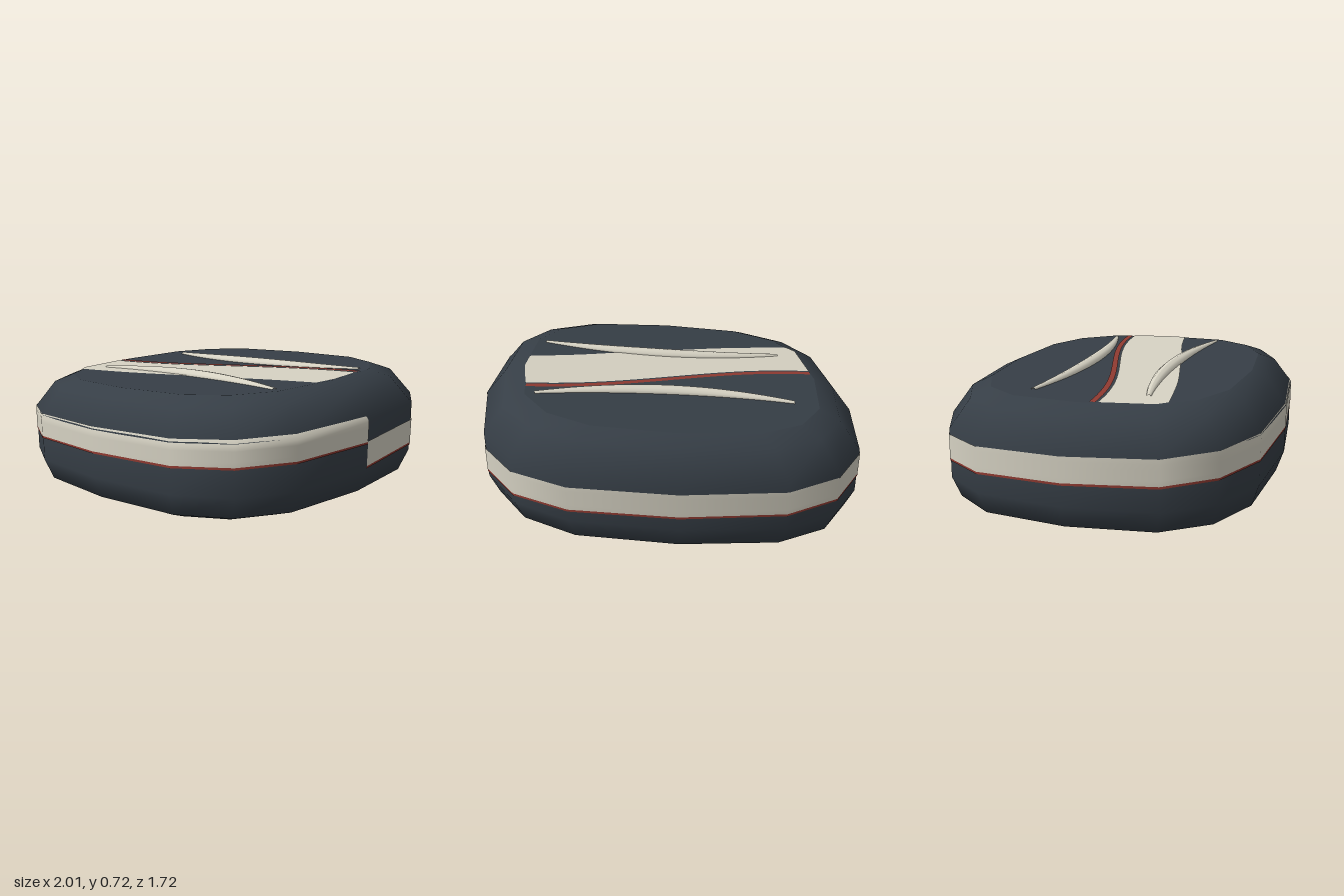
import * as THREE from 'three';

const SIDES = 16, SLOPE = 0.076, DEPTH = 0.858;
// wall profile: [height, outline scale]
const PROFILE = [[0.06, 0.79], [0.125, 0.955], [0.235, 1], [0.485, 1], [0.62, 0.89], [0.66, 0.785]];

// rounded-square outline with sixteen corners
function outline(i, scale, y) {
  const a = (i / SIDES) * Math.PI * 2;
  const p = (v) => (Math.abs(v) < 1e-6 ? 0 : Math.sign(v) * Math.abs(v) ** 0.68);
  return [p(Math.cos(a)) * scale, y, p(Math.sin(a)) * DEPTH * scale];
}

// outline scale of the wall at a height
function wallScale(y) {
  for (let k = 1; k < PROFILE.length; k++) {
    const [y0, s0] = PROFILE[k - 1], [y1, s1] = PROFILE[k];
    if (y <= y1) return s0 + ((s1 - s0) * (y - y0)) / (y1 - y0);
  }
  return PROFILE.at(-1)[1];
}

// surface through rows of points, optionally closed around
function loft(rows, cols, closed, point) {
  const pos = [], index = [];
  for (let j = 0; j < rows; j++) for (let i = 0; i < cols; i++) pos.push(...point(i, j));
  for (let j = 0; j < rows - 1; j++) {
    for (let i = 0; i < (closed ? cols : cols - 1); i++) {
      const n = (i + 1) % cols;
      const a = j * cols + i, b = j * cols + n, c = a + cols, d = b + cols - (0);
      index.push(a, c, b, b, c, d);
    }
  }
  const g = new THREE.BufferGeometry();
  g.setAttribute('position', new THREE.Float32BufferAttribute(pos, 3));
  g.setIndex(index);
  return g;
}

// lean the whole body so its +x end is higher
function lean(g) {
  const p = g.attributes.position;
  for (let i = 0; i < p.count; i++) p.setY(i, p.getY(i) + SLOPE * p.getX(i));
  g.computeVertexNormals();
  return g;
}

export function createModel() {
  const group = new THREE.Group();
  const shell = new THREE.MeshStandardMaterial({ color: 0x363e46 });
  const cream = new THREE.MeshStandardMaterial({ color: 0xd6d2c3, side: THREE.DoubleSide });
  const red = new THREE.MeshStandardMaterial({ color: 0x8f3a31, side: THREE.DoubleSide });
  shell.name = 'dark slate';
  cream.name = 'cream';
  red.name = 'brick red';
  const add = (name, geometry, material) => {
    const m = new THREE.Mesh(lean(geometry), material);
    m.name = name;
    group.add(m);
  };

  // body wall
  add('bodyWall', loft(PROFILE.length, SIDES, true, (i, j) => outline(i, PROFILE[j][1], PROFILE[j][0])), shell);

  // flat top and bottom
  const cap = ([y, s], up) => {
    const shape = new THREE.Shape();
    for (let i = 0; i < SIDES; i++) {
      const [x, , z] = outline(i, s, 0);
      shape[i ? 'lineTo' : 'moveTo'](x, up ? -z : z);
    }
    return new THREE.ShapeGeometry(shape).rotateX(up ? -Math.PI / 2 : Math.PI / 2).translate(0, y, 0);
  };
  add('topFace', cap(PROFILE.at(-1), true), shell);
  add('bottomFace', cap(PROFILE[0], false), shell);

  // painted band that sinks as it winds once round the wall
  const bandLow = (i) => 0.38 - 0.12 * (i / SIDES) ** 2;
  const band = (from, to, out) => loft(6, SIDES + 1, false, (i, j) => {
    const y = bandLow(i) + from + ((to - from) * j) / 5;
    return outline(i, wallScale(y) + out, y);
  });
  add('sideBand', band(0, 0.124, 0.004), cream);
  add('sideBandEdge', band(-0.011, 0, 0.004), red);

  // painted stripes, alike on top and bottom
  const wave = (x, offset) => [x, offset - 0.09 - 0.16 * Math.sin((Math.PI * x) / 1.6)];
  const waveLine = (x0, x1, offset) =>
    Array.from({ length: 25 }, (_, i) => wave(x0 + ((x1 - x0) * i) / 24, offset));
  const lower = new THREE.SplineCurve(
    [[0.77, 0.108], [0.5, 0.16], [0.2, 0.24], [0, 0.285], [-0.35, 0.365], [-0.7, 0.418]]
      .map((p) => new THREE.Vector2(...p))).getPoints(24).map((v) => [v.x, v.y]);
  const creamOutline = [...waveLine(-0.773, 0.755, 0.028), [0.783, -0.02], ...lower, [-0.742, 0.37]];
  const redOutline = [...waveLine(-0.773, 0.75, -0.015), ...waveLine(-0.773, 0.75, 0.016).reverse()];
  const plate = (points, y) => new THREE.ShapeGeometry(
    new THREE.Shape(points.map((p) => new THREE.Vector2(...p)))).rotateX(Math.PI / 2).translate(0, y, 0);
  for (const [side, y] of [['top', 0.663], ['bottom', 0.057]]) {
    // the top shape is turned over so that it faces up
    const face = (points) => {
      const g = plate(points, y);
      if (side === 'top') g.index.array.reverse();
      return g;
    };
    add(side + 'Stripe', face(creamOutline), cream);
    add(side + 'RedLine', face(redOutline), red);
  }

  // pair of tapered, bowed ridges on the top
  for (const s of [1, -1]) {
    const curve = new THREE.QuadraticBezierCurve3(
      new THREE.Vector3(-0.625, 0.661, 0.298 * s),
      new THREE.Vector3(0.02, 0.659, 0.155 * s),
      new THREE.Vector3(0.7, 0.658, 0.325 * s));
    const segments = 32, around = 12;
    const g = new THREE.TubeGeometry(curve, segments, 1, around, false);
    const p = g.attributes.position, v = new THREE.Vector3();
    for (let i = 0; i < p.count; i++) {
      const t = Math.floor(i / (around + 1)) / segments;
      const c = curve.getPointAt(t);
      const r = 0.012 + 0.027 * Math.sin(Math.PI * t);
      v.fromBufferAttribute(p, i).sub(c).multiplyScalar(r);
      v.y *= 0.75;
      v.add(c);
      p.setXYZ(i, v.x, v.y, v.z);
    }
    add(s > 0 ? 'frontRidge' : 'backRidge', g, cream);
  }
  return group;
}
